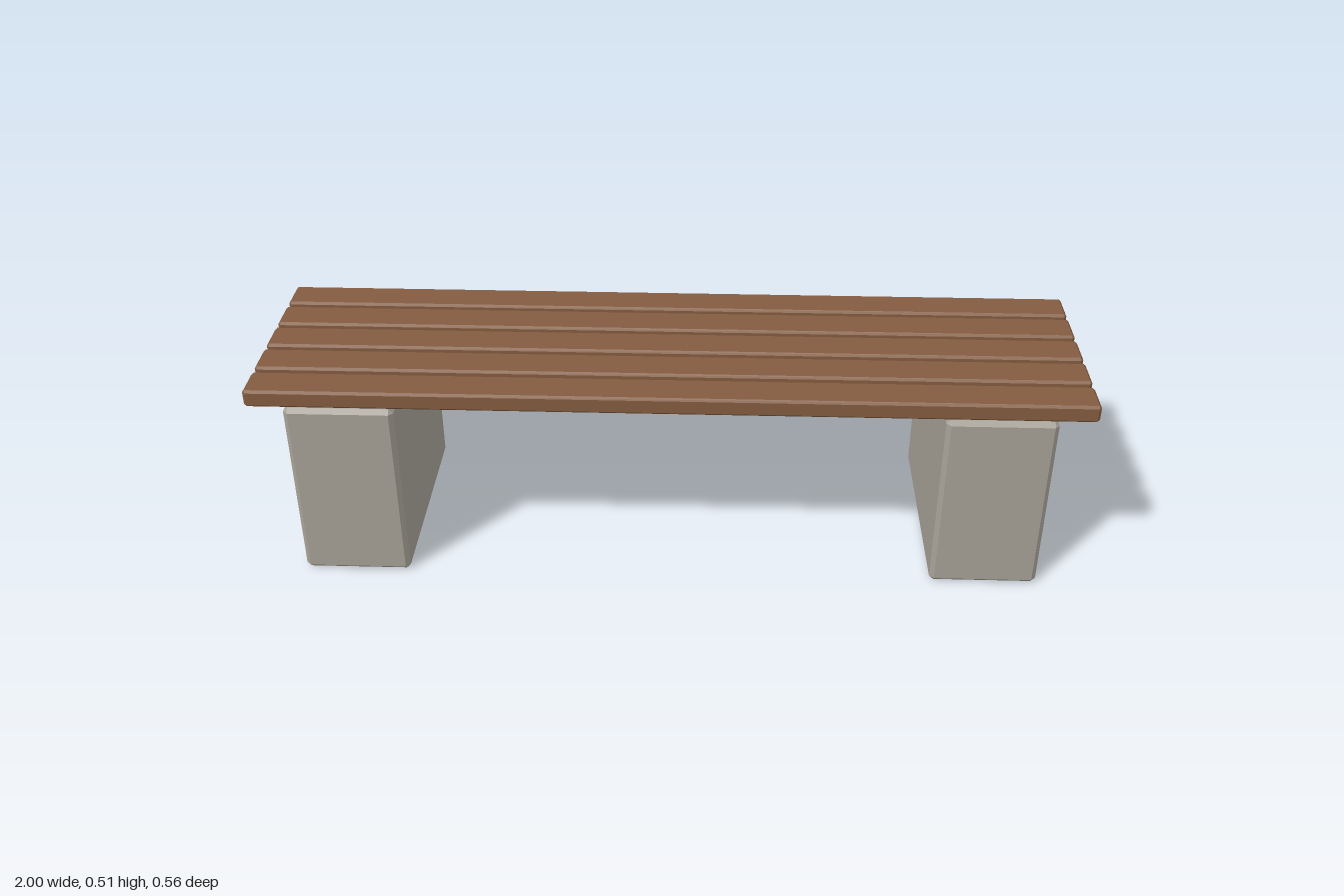
import * as THREE from 'three';
import { ConvexGeometry } from 'three/addons/geometries/ConvexGeometry.js';

// Box with every edge and corner cut flat by c
function chamferedBox(w, h, d, c) {
  const points = [];
  for (const sx of [-1, 1]) for (const sy of [-1, 1]) for (const sz of [-1, 1]) {
    const x = w / 2, y = h / 2, z = d / 2;
    points.push(
      new THREE.Vector3(sx * x, sy * (y - c), sz * (z - c)),
      new THREE.Vector3(sx * (x - c), sy * y, sz * (z - c)),
      new THREE.Vector3(sx * (x - c), sy * (y - c), sz * z)
    );
  }
  return new ConvexGeometry(points);
}

export function createModel() {
  const bench = new THREE.Group();
  bench.name = 'bench';

  const concrete = new THREE.MeshStandardMaterial({ color: 0xa6a197 });
  concrete.name = 'concrete';
  const wood = new THREE.MeshStandardMaterial({ color: 0x835c40 });
  wood.name = 'wood';

  // Two solid block legs
  const legGeometry = chamferedBox(0.262, 0.468, 0.556, 0.011);
  for (const side of [-1, 1]) {
    const leg = new THREE.Mesh(legGeometry, concrete);
    leg.name = side > 0 ? 'leftLeg' : 'rightLeg';
    leg.position.set(side * 0.779, 0.234, 0);
    bench.add(leg);
  }

  // Five seat slats, set very slightly towards the front
  const slatGeometry = chamferedBox(2, 0.044, 0.093, 0.006);
  for (let i = 0; i < 5; i++) {
    const slat = new THREE.Mesh(slatGeometry, wood);
    slat.name = `seatSlat${i + 1}`;
    slat.position.set(0, 0.491, 0.003 + (i - 2) * 0.1113);
    bench.add(slat);
  }

  return bench;
}
